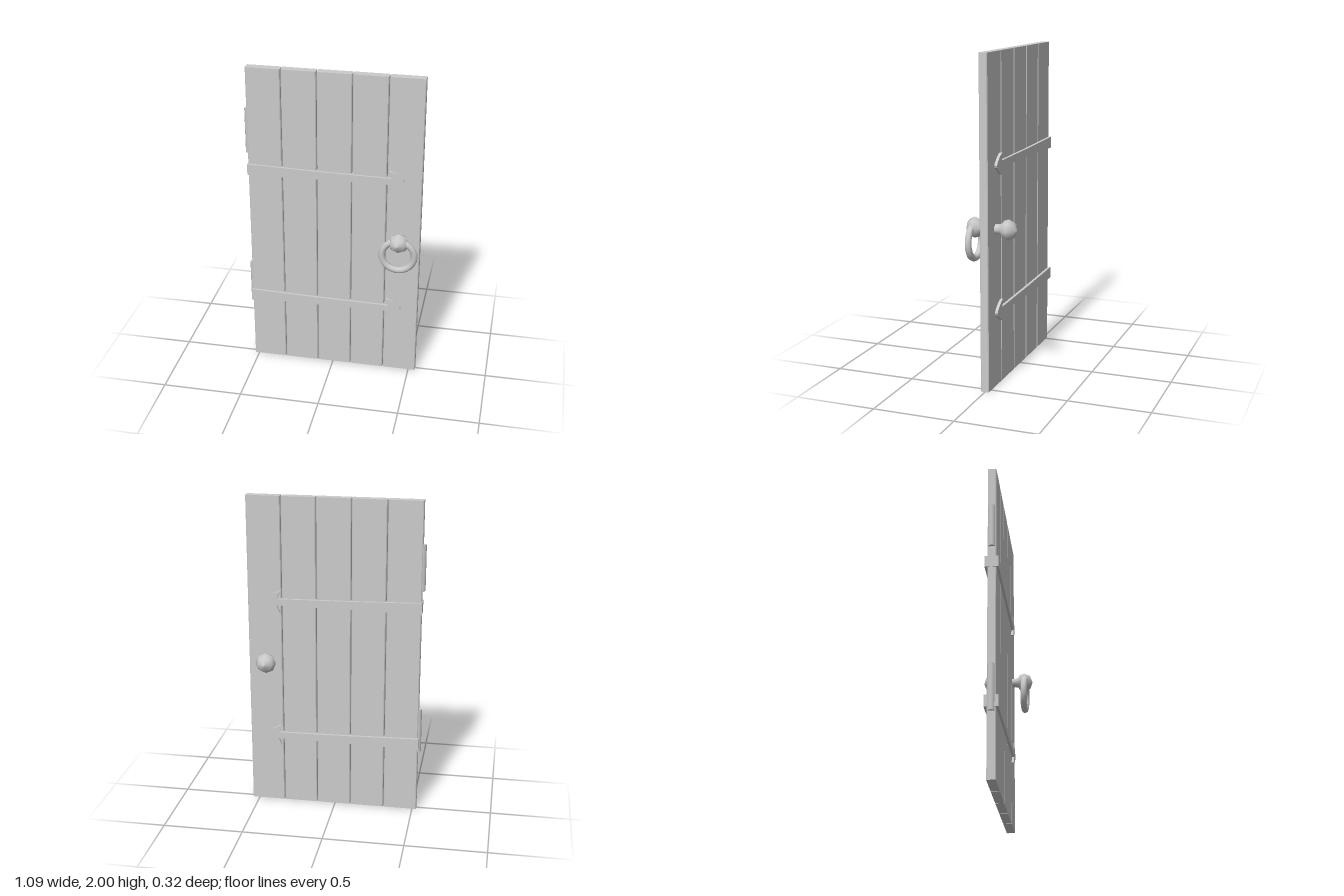
import * as THREE from 'three';

const grey = new THREE.MeshStandardMaterial({ color: 0xcccccc });
const greyFlat = new THREE.MeshStandardMaterial({ color: 0xcccccc, flatShading: true });

function add(parent, name, geometry, material = greyFlat) {
  const mesh = new THREE.Mesh(geometry, material);
  mesh.name = name;
  parent.add(mesh);
  return mesh;
}

// Flat outline given as [x, y] pairs, extruded by depth and centred on z = 0
function slab(points, depth) {
  const shape = new THREE.Shape(points.map(([x, y]) => new THREE.Vector2(x, y)));
  const geometry = new THREE.ExtrudeGeometry(shape, { depth, bevelEnabled: false });
  return geometry.translate(0, 0, -depth / 2);
}

export function createModel() {
  const door = new THREE.Group();
  door.name = 'door';

  // Five upright planks with chamfered long edges
  const w = 0.105, t = 0.026, c = 0.005;
  const section = [
    [-w + c, -t], [w - c, -t], [w, -t + c], [w, t - c],
    [w - c, t], [-w + c, t], [-w, t - c], [-w, -t + c],
  ];
  for (let i = 0; i < 5; i++) {
    const plank = add(door, 'plank', slab(section, 2).rotateX(-Math.PI / 2));
    plank.position.set(-0.421 + i * 0.2148, 1, 0.001);
  }

  // Two hinges: a tapering strap with an arrowhead, and a pin above or beside it
  const halfStrap = [[-0.53, 0.036], [-0.1, 0.026], [0.352, 0.02]];
  const halfHead = [[0.36, 0.022], [0.343, 0.064], [0.362, 0.063], [0.395, 0.045], [0.432, 0.014], [0.438, 0]];
  const mirrored = (half) => [
    ...half.map(([x, y]) => [x, -y]),
    ...half.filter(([, y]) => y > 0).reverse(),
  ];
  for (const [strapY, pinY] of [[1.347, 1.593], [0.46, 0.543]]) {
    const hinge = new THREE.Group();
    hinge.name = 'hinge';
    door.add(hinge);
    add(hinge, 'strap', slab(mirrored([...halfStrap, ...halfHead]), 0.084)).position.y = strapY;
    const pin = add(hinge, 'hingePin', new THREE.CylinderGeometry(0.021, 0.021, 0.285, 8), grey);
    pin.position.set(-0.524, pinY, 0);
  }

  // Spindle through the door with a faceted knob on each side
  const handle = new THREE.Group();
  handle.name = 'handle';
  handle.position.set(0.421, 0.97, 0);
  door.add(handle);
  add(handle, 'spindle', new THREE.CylinderGeometry(0.03, 0.03, 0.15, 8).rotateX(Math.PI / 2), grey);
  const profile = [[0.03, 0.045], [0.035, 0.066], [0.054, 0.077], [0.064, 0.108], [0.045, 0.142], [0, 0.159]]
    .map(([r, h]) => new THREE.Vector2(r, h));
  for (const side of [1, -1]) {
    const knob = new THREE.LatheGeometry(profile, 8).rotateX(side * Math.PI / 2);
    add(handle, 'knob', knob, grey);
  }

  // Pull ring hanging from the front knob
  const ring = add(handle, 'pullRing', new THREE.TorusGeometry(0.1, 0.021, 8, 24), grey);
  ring.position.set(0, -0.085, 0.108);
  ring.rotation.x = 0.03;

  return door;
}
